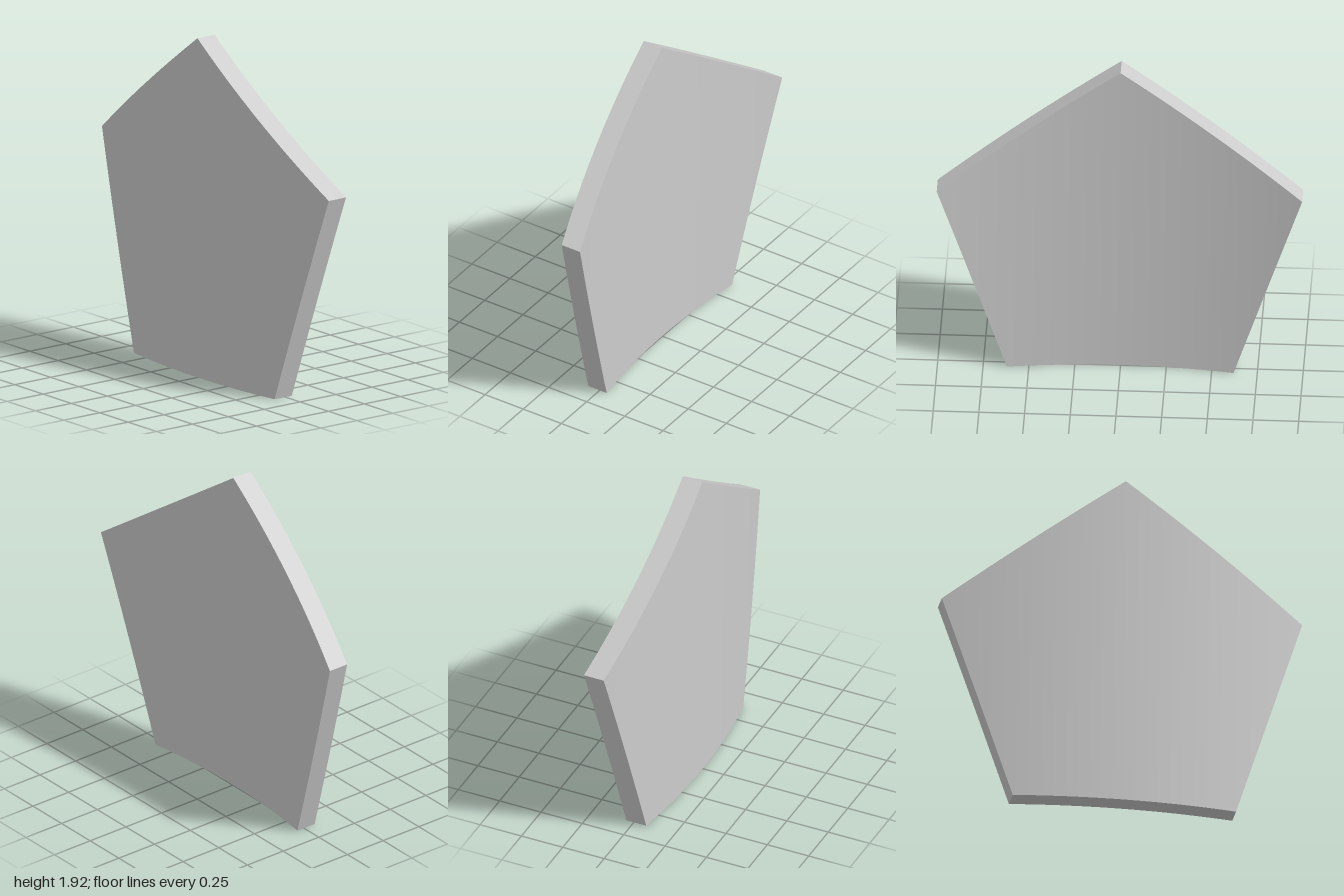
import * as THREE from 'three';
import { toCreasedNormals } from 'three/addons/utils/BufferGeometryUtils.js';

const HEIGHT = 1.92;       // base to apex
const SHOULDER = 1.19;     // height of the two widest corners
const HALF_BASE = 0.62;    // half length of the bottom edge
const THICKNESS = 0.12;
const BOW = 0.125;         // depth of the curve at the widest corners
const RADIUS = (1 + BOW * BOW) / (2 * BOW);

// Pentagon outline and circular bow, as functions of z
const topY = z => HEIGHT - (HEIGHT - SHOULDER) * Math.abs(z);
const bottomY = z => SHOULDER * Math.max(0, (Math.abs(z) - HALF_BASE) / (1 - HALF_BASE));
const bowX = z => RADIUS - Math.sqrt(RADIUS * RADIUS - z * z) - (BOW + THICKNESS) / 2;

// Columns across the panel, with exact stops at the corners
function columns() {
  const stops = [-1, -HALF_BASE, 0, HALF_BASE, 1];
  const steps = 10;
  const list = [-1];
  for (let i = 0; i < stops.length - 1; i++)
    for (let j = 1; j <= steps; j++) list.push(THREE.MathUtils.lerp(stops[i], stops[i + 1], j / steps));
  return list;
}

function curvedPentagon() {
  const positions = [];
  const triangle = (a, b, c) => {
    if (a.distanceTo(b) > 1e-6 && b.distanceTo(c) > 1e-6 && c.distanceTo(a) > 1e-6)
      for (const p of [a, b, c]) positions.push(p.x, p.y, p.z);
  };
  const quad = (a, b, c, d) => { triangle(a, b, c); triangle(a, c, d); };
  // Cross-section at z: outer and inner corners, bottom and top
  const section = z => {
    const x = bowX(z);
    const at = (dx, y) => new THREE.Vector3(x + dx, y, z);
    return {
      outerLow: at(0, bottomY(z)), outerHigh: at(0, topY(z)),
      innerLow: at(THICKNESS, bottomY(z)), innerHigh: at(THICKNESS, topY(z)),
    };
  };
  const sections = columns().map(section);
  for (let i = 0; i < sections.length - 1; i++) {
    const a = sections[i], b = sections[i + 1];
    quad(a.outerLow, b.outerLow, b.outerHigh, a.outerHigh);   // convex face
    quad(b.innerLow, a.innerLow, a.innerHigh, b.innerHigh);   // concave face
    quad(a.outerHigh, b.outerHigh, b.innerHigh, a.innerHigh); // upper rim
    quad(b.outerLow, a.outerLow, a.innerLow, b.innerLow);     // lower rim
  }
  const geometry = new THREE.BufferGeometry();
  geometry.setAttribute('position', new THREE.Float32BufferAttribute(positions, 3));
  return toCreasedNormals(geometry, 0.5);
}

export function createModel() {
  const group = new THREE.Group();
  group.name = 'curvedPanel';
  const grey = new THREE.MeshStandardMaterial({ color: 0xcccccc });
  grey.name = 'light grey';
  const panel = new THREE.Mesh(curvedPentagon(), grey);
  panel.name = 'pentagonPanel';
  group.add(panel);
  return group;
}
